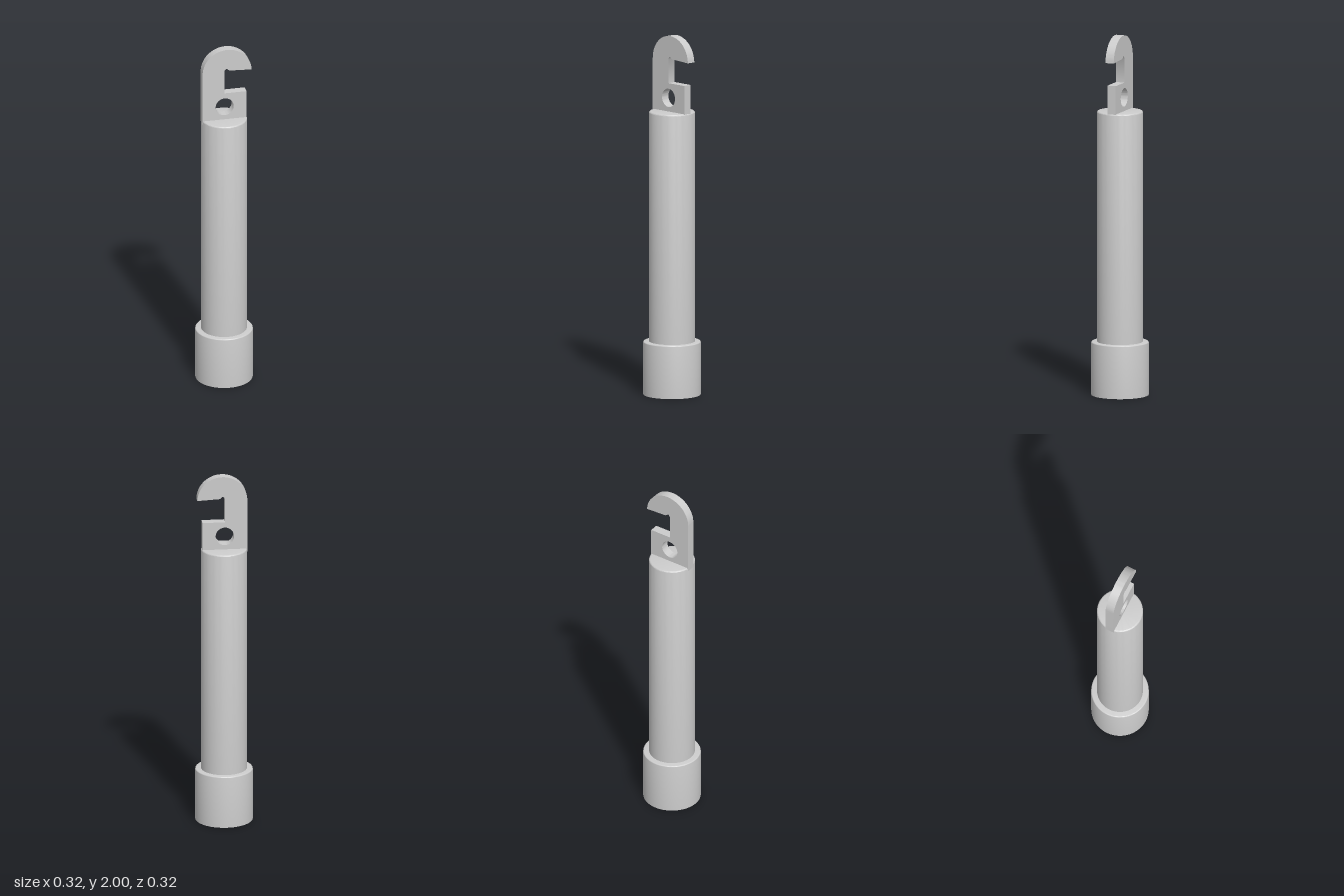
import * as THREE from 'three';
import { toCreasedNormals } from 'three/addons/utils/BufferGeometryUtils.js';

const material = new THREE.MeshStandardMaterial({ color: 0xcccccc });

function addPart(group, name, geometry) {
  const mesh = new THREE.Mesh(toCreasedNormals(geometry, 0.5), material);
  mesh.name = name;
  group.add(mesh);
  return mesh;
}

// Closed solid cylinder with a small rounded top edge
function roundedRod(radius, bottom, top, bevel) {
  const points = [new THREE.Vector2(0, bottom), new THREE.Vector2(radius, bottom)];
  for (let i = 0; i <= 4; i++) {
    const a = (i / 4) * Math.PI / 2;
    points.push(new THREE.Vector2(
      radius - bevel + bevel * Math.cos(a),
      top - bevel + bevel * Math.sin(a)
    ));
  }
  points.push(new THREE.Vector2(0, top));
  return new THREE.LatheGeometry(points, 64);
}

// Flat hook outline with a side slot and a round eye
function hookPlate(thickness) {
  const shape = new THREE.Shape();
  shape.moveTo(-0.126, 1.56);
  shape.lineTo(0.122, 1.56);
  shape.lineTo(0.122, 1.736);
  shape.lineTo(-0.004, 1.736);
  shape.lineTo(-0.004, 1.87);
  shape.quadraticCurveTo(0.002, 1.886, 0.012, 1.884);
  shape.quadraticCurveTo(0.02, 1.873, 0.032, 1.872);
  shape.lineTo(0.15, 1.866);
  shape.absarc(0.012, 1.862, 0.138, 0.03, Math.PI, false);
  shape.closePath();

  const eye = new THREE.Path();
  eye.absarc(-0.002, 1.654, 0.051, 0, Math.PI * 2, true);
  shape.holes.push(eye);

  const geometry = new THREE.ExtrudeGeometry(shape, {
    depth: thickness, bevelEnabled: false, curveSegments: 24,
  });
  return geometry.translate(0, 0, -thickness / 2);
}

export function createModel() {
  const group = new THREE.Group();
  group.name = 'hookedRod';
  addPart(group, 'baseCollar', roundedRod(0.158, 0, 0.296, 0.006));
  addPart(group, 'shaft', roundedRod(0.126, 0.28, 1.578, 0.008));
  addPart(group, 'hookPlate', hookPlate(0.049));
  return group;
}
